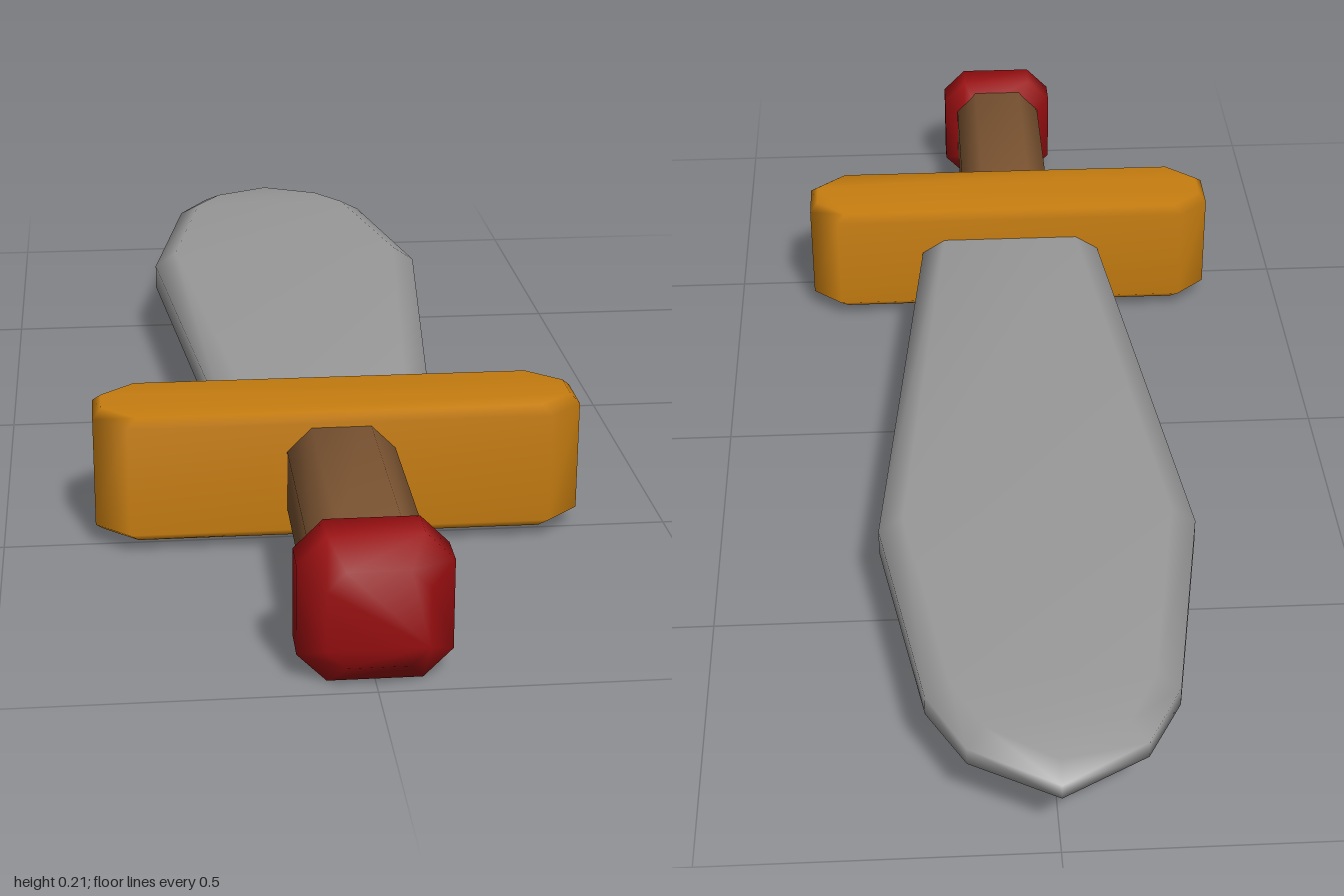
import * as THREE from 'three';
import { mergeVertices } from 'three/addons/utils/BufferGeometryUtils.js';

const material = (name, color) => {
  const m = new THREE.MeshStandardMaterial({ color });
  m.name = name;
  return m;
};

// Skin a list of equal-length rings of [x, y, z] and close both ends.
// Rings run counter-clockwise when seen from the last ring.
function loft(rings) {
  const n = rings[0].length, last = (rings.length - 1) * n, index = [];
  for (let r = 0; r < rings.length - 1; r++) {
    for (let i = 0; i < n; i++) {
      const a = r * n + i, b = r * n + (i + 1) % n;
      index.push(a, b, b + n, a, b + n, a + n);
    }
  }
  for (let i = 1; i < n - 1; i++) {
    index.push(0, i + 1, i, last, last + i, last + i + 1);
  }
  const g = new THREE.BufferGeometry();
  g.setAttribute('position', new THREE.Float32BufferAttribute(rings.flat(2), 3));
  g.setIndex(index);
  const merged = mergeVertices(g, 1e-4);
  merged.computeVertexNormals();
  return merged;
}

// Rectangle with cut corners, counter-clockwise.
const octagon = (w, h, cx, cy = cx) => [
  [w, -h + cy], [w, h - cy], [w - cx, h], [-w + cx, h],
  [-w, h - cy], [-w, -h + cy], [-w + cx, -h], [w - cx, -h],
];

export function createModel() {
  const group = new THREE.Group();
  const add = (name, geometry, mat, y) => {
    const mesh = new THREE.Mesh(geometry, mat);
    mesh.name = name;
    mesh.position.y = y;
    group.add(mesh);
  };

  // Blade: edge z, edge half width, face z, face half width, half thickness
  const bladeRows = [
    [-1.0, 0, -0.965, 0, 0.026],
    [-0.925, 0.125, -0.9, 0.1, 0.03],
    [-0.82, 0.18, -0.81, 0.145, 0.036],
    [-0.45, 0.243, -0.45, 0.205, 0.046],
    [0.42, 0.155, 0.42, 0.115, 0.046],
  ];
  add('blade', loft(bladeRows.map(([ze, we, zf, wf, t]) => {
    const e = t * 0.45;
    return [
      [we, -e, ze], [we, e, ze], [wf, t, zf], [-wf, t, zf],
      [-we, e, ze], [-we, -e, ze], [-wf, -t, zf], [wf, -t, zf],
    ];
  })), material('steel', 0x999999), 0.115);

  // Guard: cut-corner bar, stacked in y with a narrow bevel
  const guard = [[-0.097, 0.013], [-0.084, 0], [0.084, 0], [0.097, 0.013]].map(([y, inset]) =>
    octagon(0.363 - inset, 0.086 - inset, 0.05, 0.045).map(([x, z]) => [x, y, 0.459 - z]));
  add('guard', loft(guard), material('gold', 0xc67d10), 0.117);

  // Grip: eight-sided bar
  const grip = [0.46, 0.92].map((z) => octagon(0.08, 0.082, 0.036).map(([x, y]) => [x, y, z]));
  add('grip', loft(grip), material('brown leather', 0x7a5331), 0.112);

  // Pommel: eight-sided block, bevelled front and back
  const pommel = [[0.872, 0.036], [0.908, 0], [0.962, 0], [1.0, 0.036]].map(([z, inset]) =>
    octagon(0.104 - inset, 0.104 - inset, 0.04 - inset * 0.4).map(([x, y]) => [x, y, z]));
  add('pommel', loft(pommel), material('red', 0x980e10), 0.106);

  return group;
}
